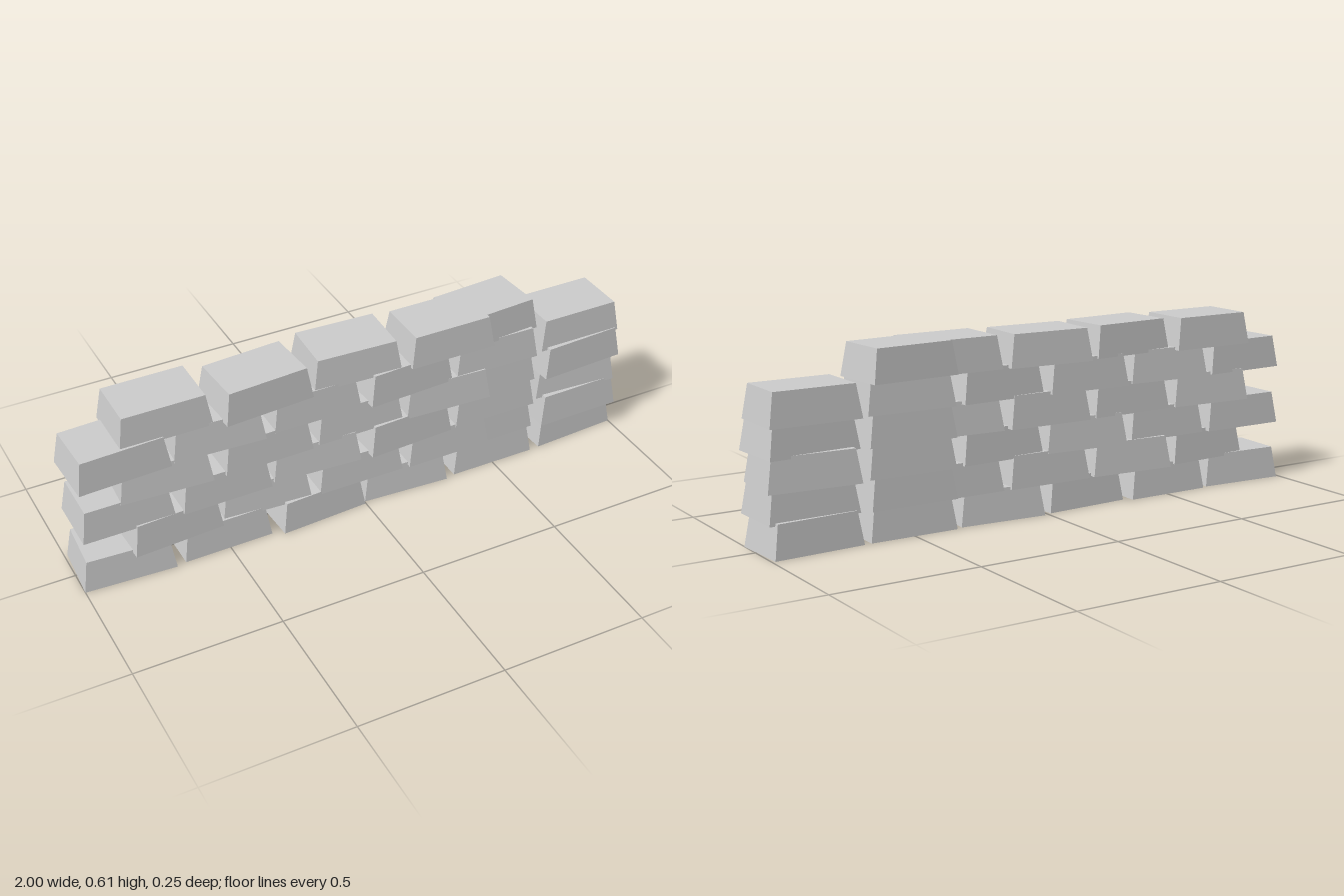
import * as THREE from 'three';

const LENGTH = 0.31, HEIGHT = 0.11, DEPTH = 0.204, PITCH = 0.1004, TAPER = 0.89;

// Brick block, narrower at the top, standing on y = 0
function brickGeometry() {
  const geometry = new THREE.BoxGeometry(LENGTH, HEIGHT, DEPTH).translate(0, HEIGHT / 2, 0);
  const p = geometry.attributes.position;
  for (let i = 0; i < p.count; i++) {
    if (p.getY(i) > HEIGHT / 2) {
      p.setX(i, p.getX(i) * TAPER);
      p.setZ(i, p.getZ(i) * TAPER);
    }
  }
  geometry.computeVertexNormals();
  return geometry;
}

// Each course from the bottom up; a brick is [x, z, turn in degrees]
const COURSES = [
  [[-0.84, 0, -3.3], [-0.505, 0, 0.5], [-0.163, 0.01, 3.3], [0.163, 0, -3.5], [0.5, 0, 0], [0.84, -0.011, 3.3]],
  [[-0.68, 0.01, 3.3], [-0.35, -0.01, -3.3], [-0.015, 0, 0], [0.32, 0.005, 0], [0.5, -0.005, 1], [0.84, 0.009, 1]],
  [[-0.835, 0, 0], [-0.5, 0.005, 0.5], [-0.17, 0, -3.5], [0.165, 0.01, 3], [0.5, 0, 0], [0.838, -0.01, -3.3]],
  [[-0.695, 0, -3], [-0.35, 0.005, 1], [-0.015, -0.005, 0], [0.315, 0.008, -3], [0.5, -0.005, 0], [0.838, 0.009, 3]],
  [[-0.84, 0.008, 2.5], [-0.51, 0, -3], [-0.17, -0.005, 0], [0.165, 0.005, 3], [0.5, 0, -1], [0.836, -0.011, 0]],
  [[-0.685, -0.012, 0], [-0.35, 0.01, 4], [-0.017, -0.012, -2.5], [0.32, 0.008, 0], [0.497, -0.01, 4]],
];

export function createModel() {
  const wall = new THREE.Group();
  wall.name = 'brickWall';
  const stone = new THREE.MeshStandardMaterial({ color: 0xcccccc });
  stone.name = 'light grey stone';
  const geometry = brickGeometry();

  COURSES.forEach((bricks, row) => {
    const course = new THREE.Group();
    course.name = `course${row + 1}`;
    course.position.y = row * PITCH;
    bricks.forEach(([x, z, turn], i) => {
      const brick = new THREE.Mesh(geometry, stone);
      brick.name = `brick${i + 1}`;
      brick.position.set(x, 0, z);
      brick.rotation.y = THREE.MathUtils.degToRad(turn);
      course.add(brick);
    });
    wall.add(course);
  });
  return wall;
}
